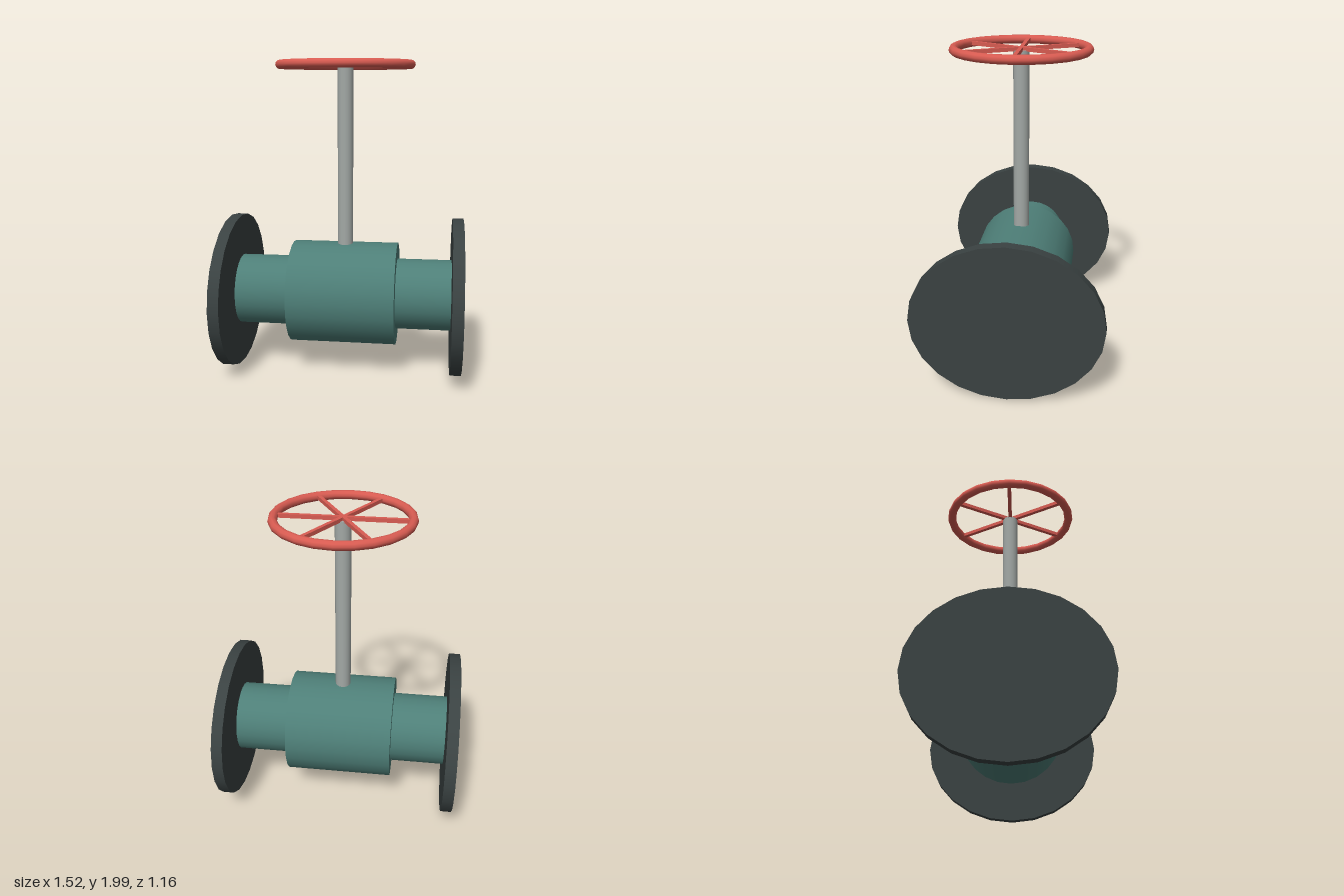
import * as THREE from 'three';

const CENTRE_Y = 0.502;

export function createModel() {
  const valve = new THREE.Group();
  valve.name = 'gateValve';

  const paint = (color) => new THREE.MeshStandardMaterial({ color });
  const green = paint(0x4e7f78);
  const dark = paint(0x3a4242);
  const steel = paint(0xa3a9a6);
  const red = paint(0xd95c52);

  const add = (name, geometry, material, x, y, parent = valve) => {
    const mesh = new THREE.Mesh(geometry, material);
    mesh.name = name;
    mesh.position.set(x, y, 0);
    parent.add(mesh);
    return mesh;
  };

  // Cylinder lying along x
  const drum = (radius, length) =>
    new THREE.CylinderGeometry(radius, radius, length, 24).rotateZ(Math.PI / 2);

  // Body
  add('body', drum(0.332, 0.68), green, 0, CENTRE_Y);

  // Pipe stubs and oval end flanges, mirrored
  for (const [label, side] of [['left', 1], ['right', -1]]) {
    add(`${label}Pipe`, drum(0.228, 0.37), green, side * 0.515, CENTRE_Y);
    const flange = drum(1, 0.07).scale(1, 0.498, 0.58);
    add(`${label}Flange`, flange, dark, side * 0.725, CENTRE_Y);
  }

  // Stem
  add('stem', new THREE.CylinderGeometry(0.05, 0.05, 1.14, 16), steel, 0, 1.395);

  // Handwheel: rim and three bars crossing to make six spokes
  const wheel = new THREE.Group();
  wheel.name = 'handwheel';
  wheel.position.y = 1.972;
  valve.add(wheel);
  const rim = new THREE.TorusGeometry(0.41, 0.028, 10, 24).rotateX(Math.PI / 2);
  add('rim', rim, red, 0, 0, wheel);
  for (let i = 0; i < 3; i++) {
    const spoke = add('spokePair', new THREE.BoxGeometry(0.78, 0.024, 0.024), red, 0, 0, wheel);
    spoke.rotation.y = (i * Math.PI) / 3;
  }

  return valve;
}
